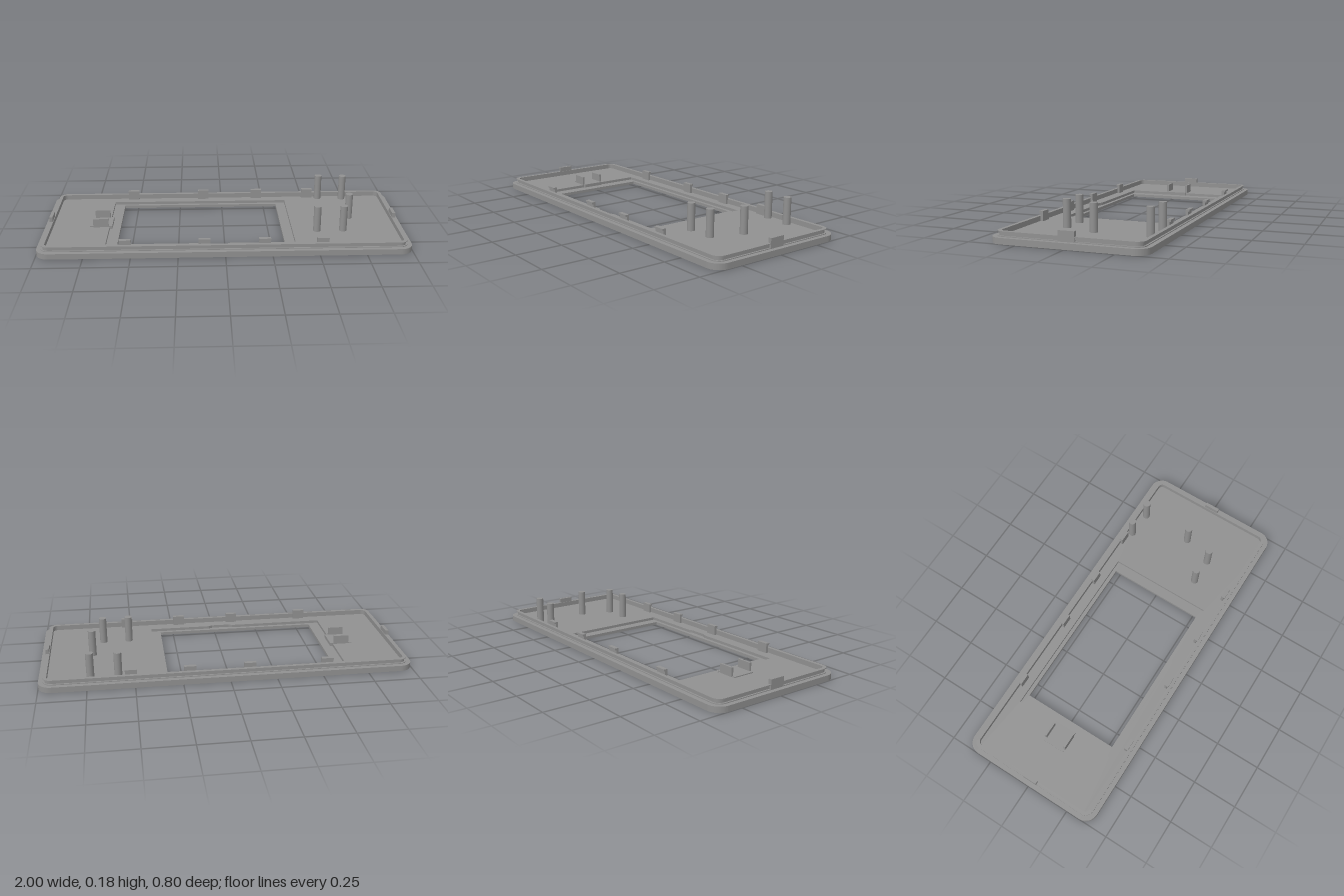
import * as THREE from 'three';

// Rounded rectangle outline; plan coordinates are (x, -z)
function outline(target, x0, x1, z0, z1, r = 0) {
  const a = -z1, b = -z0;
  if (!r) {
    target.moveTo(x0, a).lineTo(x1, a).lineTo(x1, b).lineTo(x0, b).closePath();
    return target;
  }
  target.moveTo(x0 + r, a);
  target.absarc(x1 - r, a + r, r, -Math.PI / 2, 0);
  target.absarc(x1 - r, b - r, r, 0, Math.PI / 2);
  target.absarc(x0 + r, b - r, r, Math.PI / 2, Math.PI);
  target.absarc(x0 + r, a + r, r, Math.PI, Math.PI * 1.5);
  target.closePath();
  return target;
}

export function createModel() {
  const group = new THREE.Group();
  group.name = 'frontPanel';
  const grey = new THREE.MeshStandardMaterial({ color: 0x909090 });
  grey.name = 'plasticGrey';

  const add = (name, geometry, x = 0, y = 0, z = 0) => {
    const mesh = new THREE.Mesh(geometry, grey);
    mesh.name = name;
    mesh.position.set(x, y, z);
    group.add(mesh);
    return mesh;
  };
  const box = (name, x0, x1, y0, y1, z0, z1) =>
    add(name, new THREE.BoxGeometry(x1 - x0, y1 - y0, z1 - z0),
      (x0 + x1) / 2, (y0 + y1) / 2, (z0 + z1) / 2);

  // Layer whose outer edge is inset from the 2 x 0.8 footprint
  const inset = (target, d) => outline(target, -1 + d, 1 - d, -0.4 + d, 0.4 - d, Math.max(0.07 - d, 0.02));
  const layer = (name, d, holes, y0, y1) => {
    const shape = inset(new THREE.Shape(), d);
    shape.holes.push(...holes);
    const geometry = new THREE.ExtrudeGeometry(shape, { depth: y1 - y0, bevelEnabled: false, curveSegments: 8 });
    geometry.rotateX(-Math.PI / 2);
    return add(name, geometry, 0, y0, 0);
  };
  const insetHole = (d) => inset(new THREE.Path(), d);
  const windowHole = () => outline(new THREE.Path(), -0.58, 0.325, -0.28, 0.27);
  const labelRecess = outline(new THREE.Path(), 0.7, 0.935, -0.23, 0.29, 0.015);

  // Ledge around the window, with a small notch on the front side
  const ledge = new THREE.Path([
    [-0.64, -0.29], [-0.11, -0.29], [-0.09, -0.3], [0.01, -0.3], [0.03, -0.29],
    [0.38, -0.29], [0.38, 0.3], [-0.64, 0.3],
  ].map(([x, y]) => new THREE.Vector2(x, y)));
  ledge.closePath();

  // Face side: border, groove and centre panel
  layer('faceBorder', 0, [insetHole(0.035)], 0, 0.005);
  layer('facePanel', 0.048, [windowHole(), labelRecess], 0, 0.005);
  layer('basePlate', 0, [windowHole()], 0.005, 0.016);
  layer('floorPlate', 0, [ledge], 0.016, 0.031);

  // Grooved inner rim
  layer('rimFoot', 0.025, [insetHole(0.045)], 0.031, 0.035);
  layer('rimWall', 0.034, [insetHole(0.045)], 0.035, 0.054);
  layer('rimLip', 0.025, [insetHole(0.045)], 0.054, 0.058);

  // Hooked clips along the long sides
  for (const x of [-0.53, -0.11, 0.21, 0.52]) {
    for (const s of [-1, 1]) {
      const clip = new THREE.Shape([
        [0.338, 0.03], [0.352, 0.03], [0.352, 0.072], [0.36, 0.074], [0.36, 0.084], [0.338, 0.084],
      ].map(([z, y]) => new THREE.Vector2(z, y)));
      const geometry = new THREE.ExtrudeGeometry(clip, { depth: 0.064, bevelEnabled: false });
      geometry.translate(0, 0, -0.032);
      geometry.rotateY(s * -Math.PI / 2);
      add('sideClip', geometry, x, 0, 0);
    }
  }

  // End tabs on the short sides
  for (const s of [-1, 1]) {
    const x = s * 0.967;
    box('endTab', x - 0.009, x + 0.009, 0.031, 0.084, -0.042, 0.042);
  }

  // Bracket with two upright ears
  box('bracketPad', -0.75, -0.625, 0.018, 0.036, -0.065, 0.06);
  for (const z of [-0.063, 0.059]) {
    box('bracketEar', -0.73, -0.645, 0.03, 0.08, z - 0.006, z + 0.006);
  }

  // Round support posts
  const post = new THREE.CylinderGeometry(0.0205, 0.0205, 0.147, 24);
  for (const [x, z] of [[0.585, -0.33], [0.73, -0.32], [0.72, -0.025], [0.515, 0.147], [0.66, 0.147]]) {
    add('post', post, x, 0.1035, z);
  }

  return group;
}
